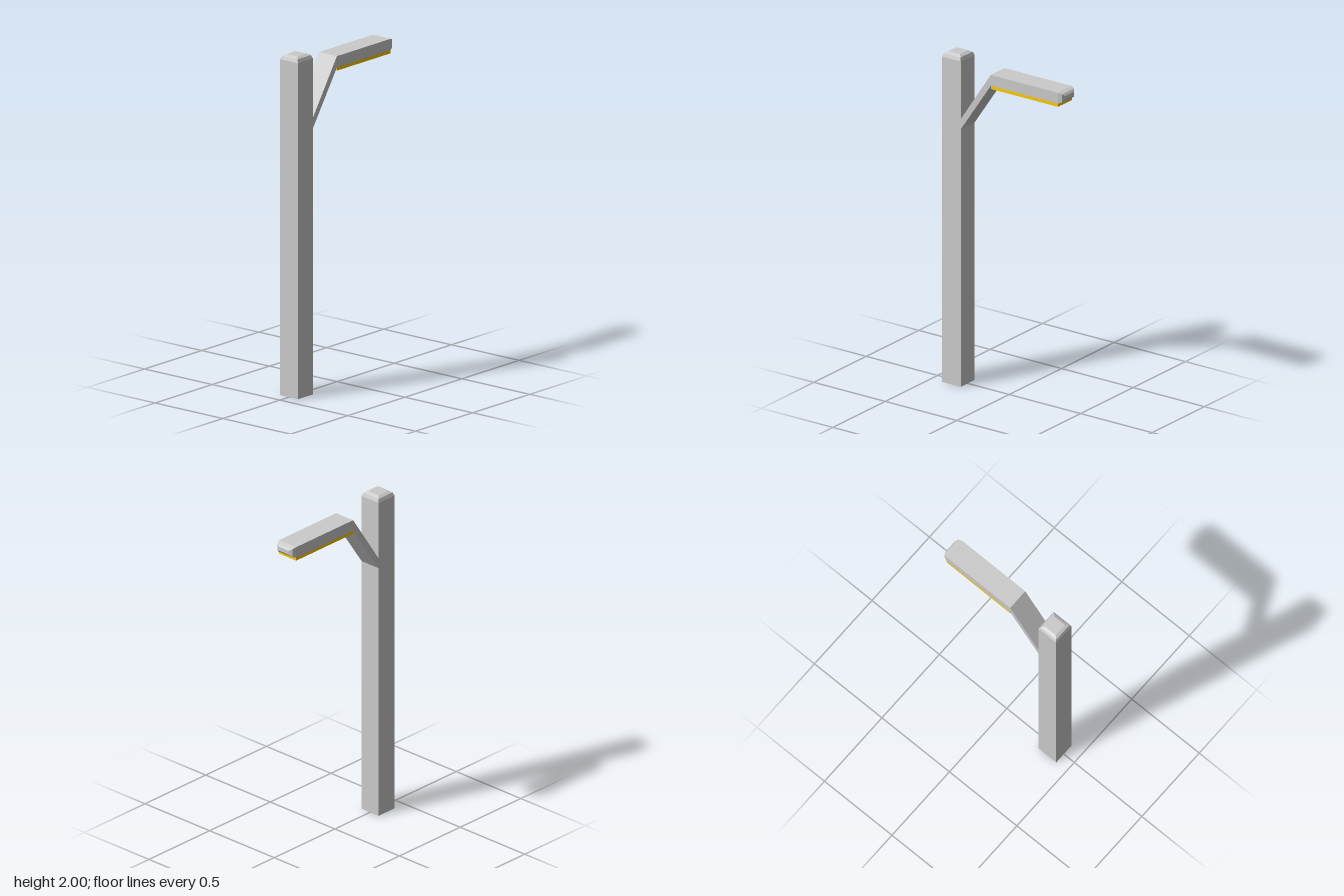
import * as THREE from 'three';

// Closed solid through four-cornered rings, each counter-clockwise seen from the end side
function loft(rings) {
  const pos = [];
  const quad = (a, b, c, d) => pos.push(...a, ...b, ...c, ...a, ...c, ...d);
  for (let r = 0; r < rings.length - 1; r++) {
    const a = rings[r], b = rings[r + 1];
    for (let i = 0; i < 4; i++) {
      const j = (i + 1) % 4;
      quad(a[i], a[j], b[j], b[i]);
    }
  }
  quad(...[...rings[0]].reverse());
  quad(...rings[rings.length - 1]);
  const geo = new THREE.BufferGeometry();
  geo.setAttribute('position', new THREE.Float32BufferAttribute(pos, 3));
  geo.computeVertexNormals();
  return geo;
}

const W = 0.066; // half width shared by all parts
const POST_X = -0.356;

// Square ring across the post
const postRing = (y, h) => [
  [POST_X - h, y, h], [POST_X + h, y, h], [POST_X + h, y, -h], [POST_X - h, y, -h],
];
// Rectangular ring across the arm
const armRing = (x, y0, y1, h) => [[x, y0, h], [x, y0, -h], [x, y1, -h], [x, y1, h]];

export function createModel() {
  const group = new THREE.Group();
  group.name = 'streetLamp';
  const grey = new THREE.MeshStandardMaterial({ color: 0xcccccc, flatShading: true });
  const yellow = new THREE.MeshStandardMaterial({ color: 0xffcc00, flatShading: true });
  const add = (name, geo, mat) => {
    const mesh = new THREE.Mesh(geo, mat);
    mesh.name = name;
    group.add(mesh);
    return mesh;
  };

  // Post with a two-step bevelled top
  add('post', loft([
    postRing(0, W), postRing(1.97, W), postRing(1.99, 0.058), postRing(2, 0.04),
  ]), grey);

  // Sloping bracket running into the lamp head, with a bevelled tip
  add('armAndHead', loft([
    armRing(-0.29, 1.56, 1.622, W),
    armRing(-0.08, 1.872, 1.938, W),
    armRing(0.39, 1.872, 1.938, W),
    armRing(0.412, 1.88, 1.93, 0.058),
    armRing(0.422, 1.893, 1.917, 0.038),
  ]), grey);

  // Light panel under the head
  add('lightPanel', new THREE.BoxGeometry(0.47, 0.02, 2 * W), yellow)
    .position.set(0.155, 1.863, 0);

  return group;
}
